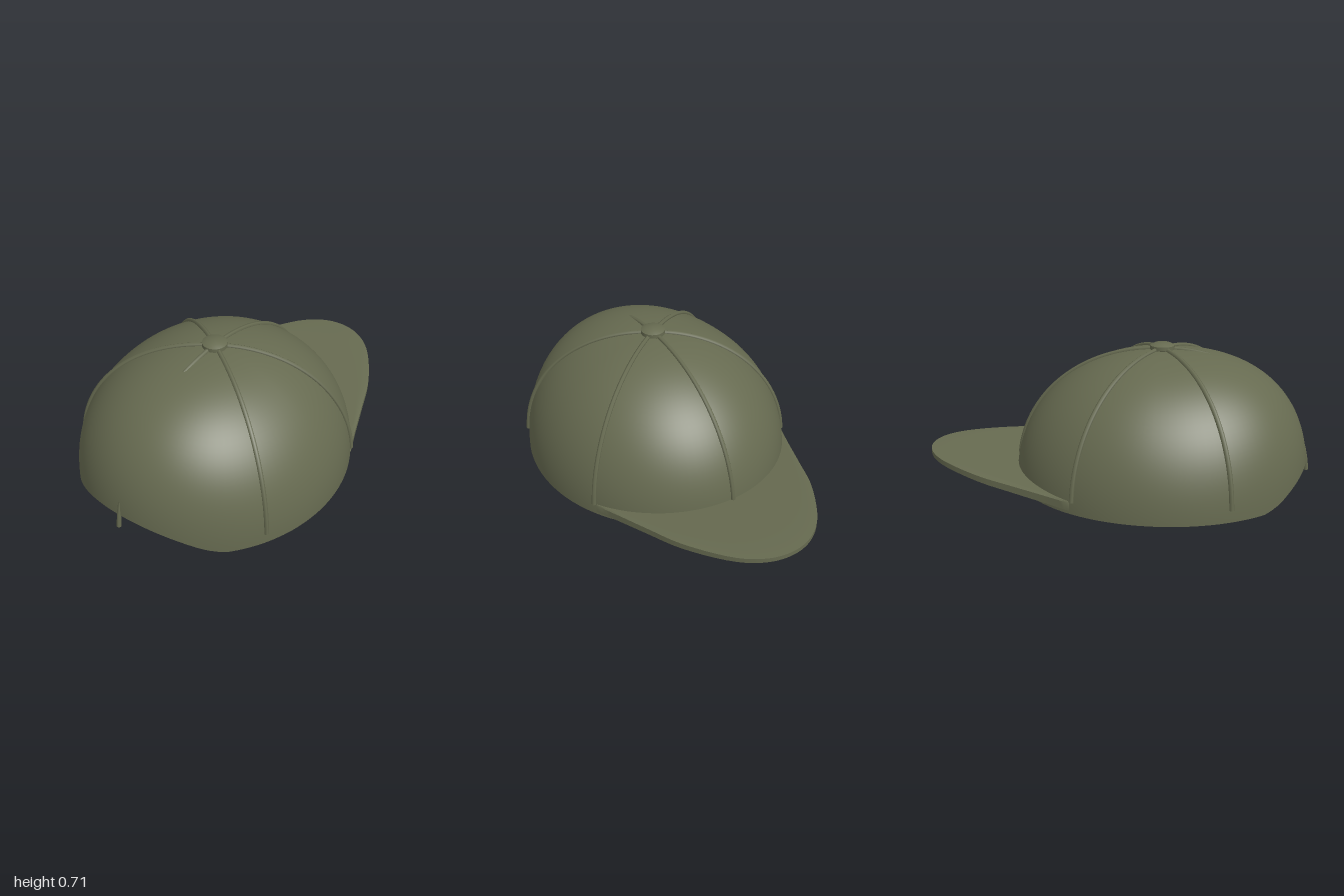
import * as THREE from 'three';
import { toCreasedNormals } from 'three/addons/utils/BufferGeometryUtils.js';
import { ParametricGeometry } from 'three/addons/geometries/ParametricGeometry.js';

const RX = 0.68, RZ = 0.755, H = 0.68, CZ = 0.23; // crown radii, height and centre

// Fullness of the dome: 2 is an ellipsoid, the front panels bulge more
const fullness = (a) => 2.08 + 0.42 * Math.max(0, Math.cos(a)) ** 2;

// Point on the dome; a = 0 is the front, phi = 0 is the top
function domePoint(a, phi, n, lift = 0, target = new THREE.Vector3()) {
  const r = Math.pow(Math.sin(phi), 2 / n);
  const y = Math.pow(Math.max(0, Math.cos(phi)), 2 / n);
  return target.set(Math.sin(a) * r * (RX + lift), y * (H + lift), CZ + Math.cos(a) * r * (RZ + lift));
}
const phiAtHeight = (y, n) => Math.acos(Math.pow(y / H, n / 2));

// Lower edge of the crown: rises into an arch at the front
function rimHeight(a) {
  const z = CZ + RZ * Math.cos(a);
  return Math.max(0, Math.min((z - 0.775) * 0.43, 0.13), 0.028 + (z - 0.84) * 0.72);
}

function crownGeometry() {
  return new ParametricGeometry((u, v, target) => {
    const a = -u * Math.PI * 2, n = fullness(a);
    const phi = 0.004 + v * (phiAtHeight(rimHeight(a), n) - 0.004);
    domePoint(a, phi, n, 0, target);
  }, 96, 32);
}

// Raised seam from the button down to just above the rim
function seamGeometry(a, n, lift) {
  const end = phiAtHeight(0.06, n), points = [];
  for (let i = 0; i <= 14; i++) points.push(domePoint(a, 0.06 + (end - 0.06) * i / 14, n, lift));
  return new THREE.TubeGeometry(new THREE.CatmullRomCurve3(points), 28, 0.012, 6);
}

function visorGeometry() {
  const half = [[0.585, -0.16], [0.53, -0.3], [0.47, -0.46], [0.39, -0.66], [0.23, -0.895], [0.11, -0.978]];
  const outline = new THREE.CatmullRomCurve3([
    ...half.map(([x, z]) => new THREE.Vector3(-x, 0, z)),
    new THREE.Vector3(0, 0, -1),
    ...half.map(([x, z]) => new THREE.Vector3(x, 0, z)).reverse(),
  ]);
  const COLS = 64, ROWS = 6, LOOP = 2 * (ROWS + 1);
  const positions = [], index = [];
  for (let i = 0; i <= COLS; i++) {
    const t = i / COLS, a = (t * 2 - 1) * 1.0;
    const outer = outline.getPoint(t);
    const inner = new THREE.Vector3(Math.sin(a) * RX * 0.975, 0, CZ - Math.cos(a) * RZ * 0.975);
    // Each section runs out along the top and back along the underside
    for (let k = 0; k < LOOP; k++) {
      const top = k <= ROWS;
      const s = (top ? k : LOOP - 1 - k) / ROWS;
      const p = inner.clone().lerp(outer, s);
      const d = (-p.z - 0.2) / 0.8;
      const y = top ? 0.065 + 0.065 * d - (s === 1 ? 0.006 : 0) : 0.02 + 0.08 * d;
      positions.push(p.x, y, p.z);
    }
  }
  for (let i = 0; i < COLS; i++) {
    for (let k = 0; k < LOOP; k++) {
      const a = i * LOOP + k, b = i * LOOP + (k + 1) % LOOP;
      index.push(a, a + LOOP, b, b, a + LOOP, b + LOOP);
    }
  }
  const geometry = new THREE.BufferGeometry();
  geometry.setAttribute('position', new THREE.Float32BufferAttribute(positions, 3));
  geometry.setIndex(index);
  return toCreasedNormals(geometry, 0.7);
}

export function createModel() {
  const cap = new THREE.Group();
  cap.name = 'cap';
  const olive = new THREE.MeshStandardMaterial({ color: 0x666a50, side: THREE.DoubleSide });
  olive.name = 'olive cloth';
  const add = (name, geometry, parent = cap) => {
    const mesh = new THREE.Mesh(geometry, olive);
    mesh.name = name;
    parent.add(mesh);
    return mesh;
  };

  add('crown', crownGeometry());
  add('visor', visorGeometry());

  // Six seams; the front one lies under the fuller front panels
  const seams = new THREE.Group();
  seams.name = 'seams';
  cap.add(seams);
  for (let i = 0; i < 6; i++) {
    const a = i * Math.PI / 3;
    add('seam', seamGeometry(a, i === 0 ? 2.1 : fullness(a), 0.003), seams);
  }

  // Covered button on top
  const profile = [[0, 0.66], [0.045, 0.665], [0.063, 0.68], [0.063, 0.7], [0.04, 0.711], [0, 0.714]]
    .map(([x, y]) => new THREE.Vector2(x, y));
  add('button', toCreasedNormals(new THREE.LatheGeometry(profile, 20), 0.7)).position.z = CZ;

  return cap;
}
